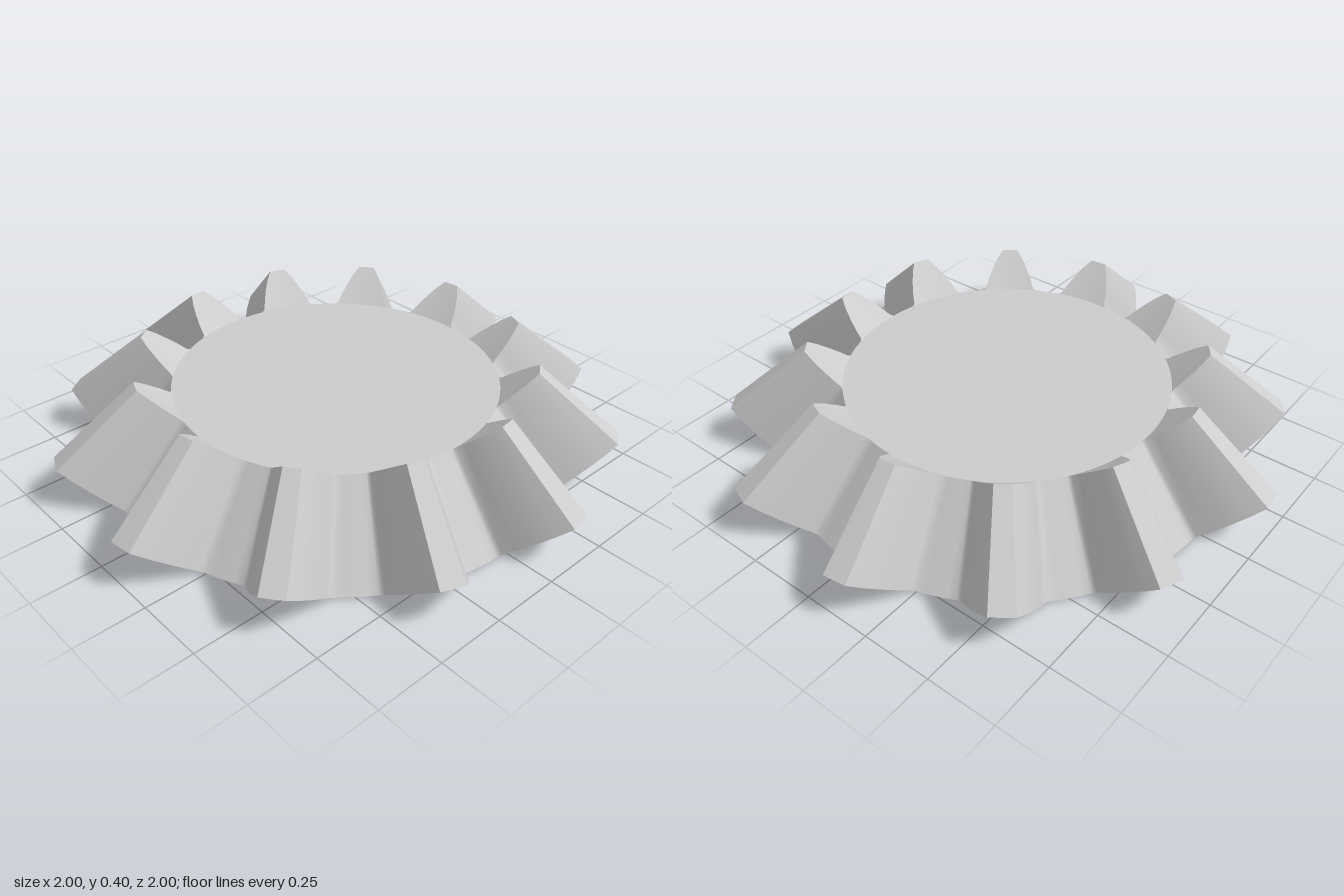
import * as THREE from 'three';

const TEETH = 12;
const PITCH = (Math.PI * 2) / TEETH;
const PHASE = PITCH / 4;

// Bevel profile as [radius, height] at the root and at the tip of a tooth
const OUTER = { root: [0.813, 0], tip: [1.003, 0.157] };
const INNER = { root: [0.583, 0.296], tip: [0.708, 0.404] };

// Half a tooth from tip edge to mid-gap: [angle, height fraction]
const FLANK = [[0.042, 1], [0.075, 0.78], [0.107, 0.52], [0.138, 0.26], [0.16, 0.05], [0.18, 0], [0.22, 0], [PITCH / 2, 0]];

// Point on one end of the gear at an angle and a fraction of tooth height
function at(end, [angle, t]) {
  const r = THREE.MathUtils.lerp(end.root[0], end.tip[0], t);
  const y = THREE.MathUtils.lerp(end.root[1], end.tip[1], t);
  return [r * Math.sin(angle), y, r * Math.cos(angle)];
}

// Smooth strip of quads between two rows of points
function strip(rowA, rowB) {
  const n = rowA.length;
  const index = [];
  for (let i = 0; i < n - 1; i++) {
    index.push(i, i + 1, n + i + 1, i, n + i + 1, n + i);
  }
  const geometry = new THREE.BufferGeometry();
  geometry.setAttribute('position', new THREE.Float32BufferAttribute([...rowA, ...rowB].flat(), 3));
  geometry.setIndex(index);
  geometry.computeVertexNormals();
  return geometry;
}

export function createModel() {
  const steel = new THREE.MeshStandardMaterial({ color: 0xcccccc });
  steel.name = 'steel grey';

  const model = new THREE.Group();
  model.name = 'bevelGear';
  const add = (parent, name, geometry) => {
    const mesh = new THREE.Mesh(geometry, steel);
    mesh.name = name;
    parent.add(mesh);
  };

  const mirrored = FLANK.map(([a, t]) => [-a, t]).reverse();
  const tooth = [...mirrored, [0, 1], ...FLANK];
  const face = tooth.filter(([a]) => Math.abs(a) < 0.19);
  const land = [[-0.042, 1], [0, 1], [0.042, 1]];
  const gap = [...FLANK, ...FLANK.slice(0, -1).reverse().map(([a, t]) => [PITCH - a, t])];
  const toRoot = (points) => points.map(([a]) => [a, 0]);
  const row = (end, points) => points.map((p) => at(end, p));

  // Surfaces of one tooth and the gap beside it
  const parts = {
    toothLand: strip(row(OUTER, land), row(INNER, land)),
    toothFlanksAndGap: strip(row(OUTER, gap), row(INNER, gap)),
    toothOuterEnd: strip(row(OUTER, toRoot(face)), row(OUTER, face)),
    toothInnerEnd: strip(row(INNER, face), row(INNER, toRoot(face))),
  };
  for (let i = 0; i < TEETH; i++) {
    const group = new THREE.Group();
    group.name = 'tooth' + (i + 1);
    group.rotation.y = PHASE + i * PITCH;
    for (const [name, geometry] of Object.entries(parts)) add(group, name, geometry);
    model.add(group);
  }

  // Flat discs closing the top and the base
  const ring = [];
  for (let i = 0; i < TEETH; i++) {
    for (const [a] of tooth.slice(1)) ring.push([PHASE + i * PITCH + a, 0]);
  }
  ring.push([ring[0][0] + Math.PI * 2, 0]);
  const centre = (y) => ring.map(() => [0, y, 0]);
  add(model, 'topDisc', strip(row(INNER, ring), centre(INNER.root[1])));
  add(model, 'baseDisc', strip(centre(0), row(OUTER, ring)));

  return model;
}
